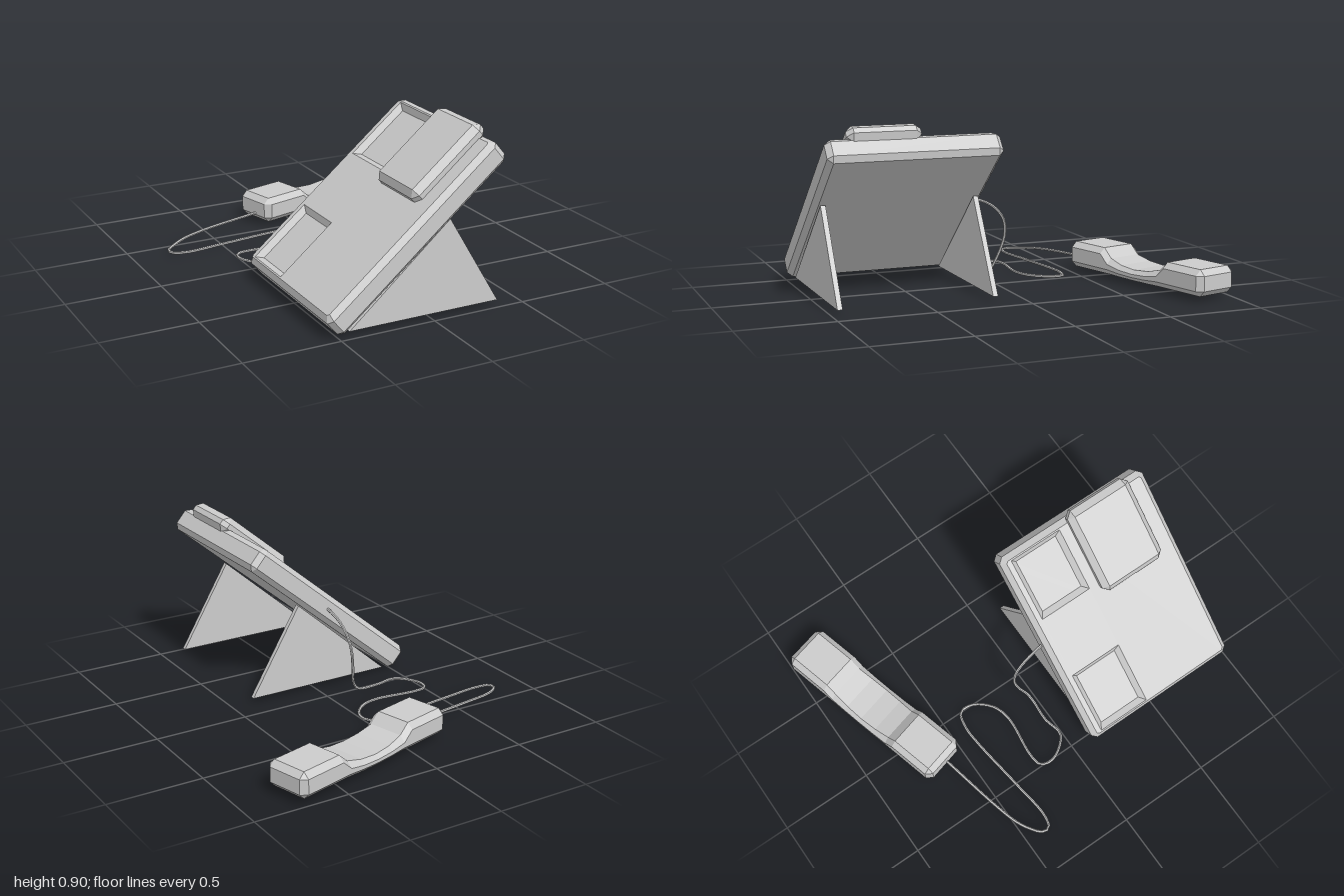
import * as THREE from 'three';

const grey = () => new THREE.MeshStandardMaterial({ color: 0xcccccc, flatShading: true });

function add(parent, name, geometry) {
  const mesh = new THREE.Mesh(geometry, grey());
  mesh.name = name;
  parent.add(mesh);
  return mesh;
}

// Rectangle a0..a1 by b0..b1 with corners cut by c, counter-clockwise
const octagon = (a0, a1, b0, b1, c) => [
  [a1, b0 + c], [a1, b1 - c], [a1 - c, b1], [a0 + c, b1],
  [a0, b1 - c], [a0, b0 + c], [a0 + c, b0], [a1 - c, b0],
];

// Closed solid through eight-sided rings; place(a, b, t) gives the 3D point
function loft(rings, place) {
  const pos = [], index = [], n = 8;
  rings.forEach(({ t, ring }) => ring.forEach(([a, b]) => pos.push(...place(a, b, t))));
  for (let k = 0; k < rings.length - 1; k++) {
    for (let i = 0; i < n; i++) {
      const p = k * n + i, q = k * n + (i + 1) % n;
      index.push(p, q, q + n, p, q + n, p + n);
    }
  }
  const end = (rings.length - 1) * n;
  for (let i = 1; i < n - 1; i++) index.push(0, i + 1, i, end, end + i, end + i + 1);
  const g = new THREE.BufferGeometry();
  g.setAttribute('position', new THREE.Float32BufferAttribute(pos, 3));
  g.setIndex(index);
  const flat = g.toNonIndexed();
  flat.computeVertexNormals();
  return flat;
}

// Upright block with chamfered edges; the top chamfer is optional
function block(x0, x1, y0, y1, z0, z1, c, chamferTop) {
  const full = octagon(z0, z1, x0, x1, c);
  const inset = octagon(z0 + c, z1 - c, x0 + c, x1 - c, 0);
  const rings = [{ t: y0, ring: inset }, { t: y0 + c, ring: full }];
  if (chamferTop) rings.push({ t: y1 - c, ring: full }, { t: y1, ring: inset });
  else rings.push({ t: y1, ring: full });
  return loft(rings, (z, x, y) => [x, y, z]);
}

const toPoints = (list) => list.map(([x, y]) => new THREE.Vector2(x, y));

function createBase() {
  const base = new THREE.Group();
  base.name = 'base';
  const U0 = -0.376, U1 = 0.783, Z0 = 0.1, Z1 = 1, TOP = 0.45, C = 0.027;

  // Tilted housing, built level and turned as a whole
  const housing = new THREE.Group();
  housing.name = 'housing';
  housing.rotation.z = THREE.MathUtils.degToRad(40);
  base.add(housing);
  add(housing, 'housingBody', block(U0, U1, 0.315, TOP - C, Z0, Z1, C, false));

  // Face plate with two sloped cradle wells
  const face = new THREE.Shape(toPoints(octagon(U0, U1, -Z1, -Z0, C)));
  for (const u of [-0.341, 0.384]) {
    const well = octagon(u + C, u + 0.364 - C, -0.455 + C, -0.155 - C, 0);
    face.holes.push(new THREE.Path(toPoints(well.filter((p, i) => i % 2 === 0))));
  }
  const depth = 0.004;
  const plate = new THREE.ExtrudeGeometry(face, {
    depth, bevelEnabled: true, bevelSegments: 1, bevelSize: C, bevelThickness: C, bevelOffset: -C,
  });
  plate.rotateX(-Math.PI / 2).translate(0, TOP - C - depth, 0);
  add(housing, 'facePlate', plate);

  // Raised panel beside the upper well
  add(housing, 'raisedPanel', block(0.325, 0.812, 0.415, 0.508, 0.51, 0.89, 0.032, true));

  // Two triangular stand plates
  const triangle = new THREE.Shape(toPoints([[-0.44, 0.017], [0.374, 0.017], [0.095, 0.484]]));
  for (const z of [0.135, 0.94]) {
    const leg = new THREE.ExtrudeGeometry(triangle, { depth: 0.026, bevelEnabled: false });
    add(base, 'standPlate', leg).position.z = z;
  }
  return base;
}

function createHandset() {
  const half = 0.125, bottom = 0.02, c = 0.03;
  // Distance along the handset and height of its top there
  const profile = [
    [-0.48, 0.158], [-0.245, 0.158], [-0.19, 0.108], [-0.1, 0.086], [0, 0.078],
    [0.1, 0.086], [0.19, 0.108], [0.245, 0.158], [0.48, 0.158],
  ];
  const rings = profile.map(([t, top]) => ({
    t, ring: octagon(bottom, top, -half, half, Math.min(c, (top - bottom) * 0.35)),
  }));
  const tip = octagon(bottom + c, 0.158 - c, -half + c, half - c, 0);
  rings.unshift({ t: -0.51, ring: tip });
  rings.push({ t: 0.51, ring: tip });
  const handset = new THREE.Group();
  handset.name = 'handset';
  add(handset, 'handsetBody', loft(rings, (y, z, x) => [x, y, z]));
  handset.position.set(0.285, 0, -0.755);
  handset.rotation.y = THREE.MathUtils.degToRad(15);
  return handset;
}

// Cord hanging from the housing and winding over the table to the handset
function createCord() {
  const F = 0.008;
  const path = [
    [-0.063, 0.45, 0.13], [-0.067, 0.44, 0.08], [-0.075, 0.4, -0.01], [-0.084, 0.33, -0.075],
    [-0.095, 0.25, -0.092], [-0.112, 0.16, -0.075], [-0.14, 0.06, -0.038], [-0.18, F, -0.025],
    [-0.3, F, -0.032], [-0.41, F, -0.012], [-0.47, F, -0.06], [-0.508, F, -0.14],
    [-0.49, F, -0.2], [-0.42, F, -0.214], [-0.18, F, -0.192], [-0.08, F, -0.222],
    [-0.003, F, -0.31], [-0.003, F, -0.385], [-0.09, F, -0.412], [-0.2, F, -0.408],
    [-0.5, F, -0.37], [-0.73, F, -0.345], [-0.8, 0.012, -0.365], [-0.8, 0.014, -0.405],
    [-0.75, 0.02, -0.45], [-0.68, 0.03, -0.49], [-0.55, 0.042, -0.53], [-0.17, 0.06, -0.615],
  ].map((p) => new THREE.Vector3(...p));
  const curve = new THREE.CatmullRomCurve3(path, false, 'centripetal');
  return new THREE.TubeGeometry(curve, 110, 0.008, 6);
}

export function createModel() {
  const model = new THREE.Group();
  model.name = 'deskTelephone';
  model.add(createBase(), createHandset());
  add(model, 'cord', createCord());
  return model;
}
